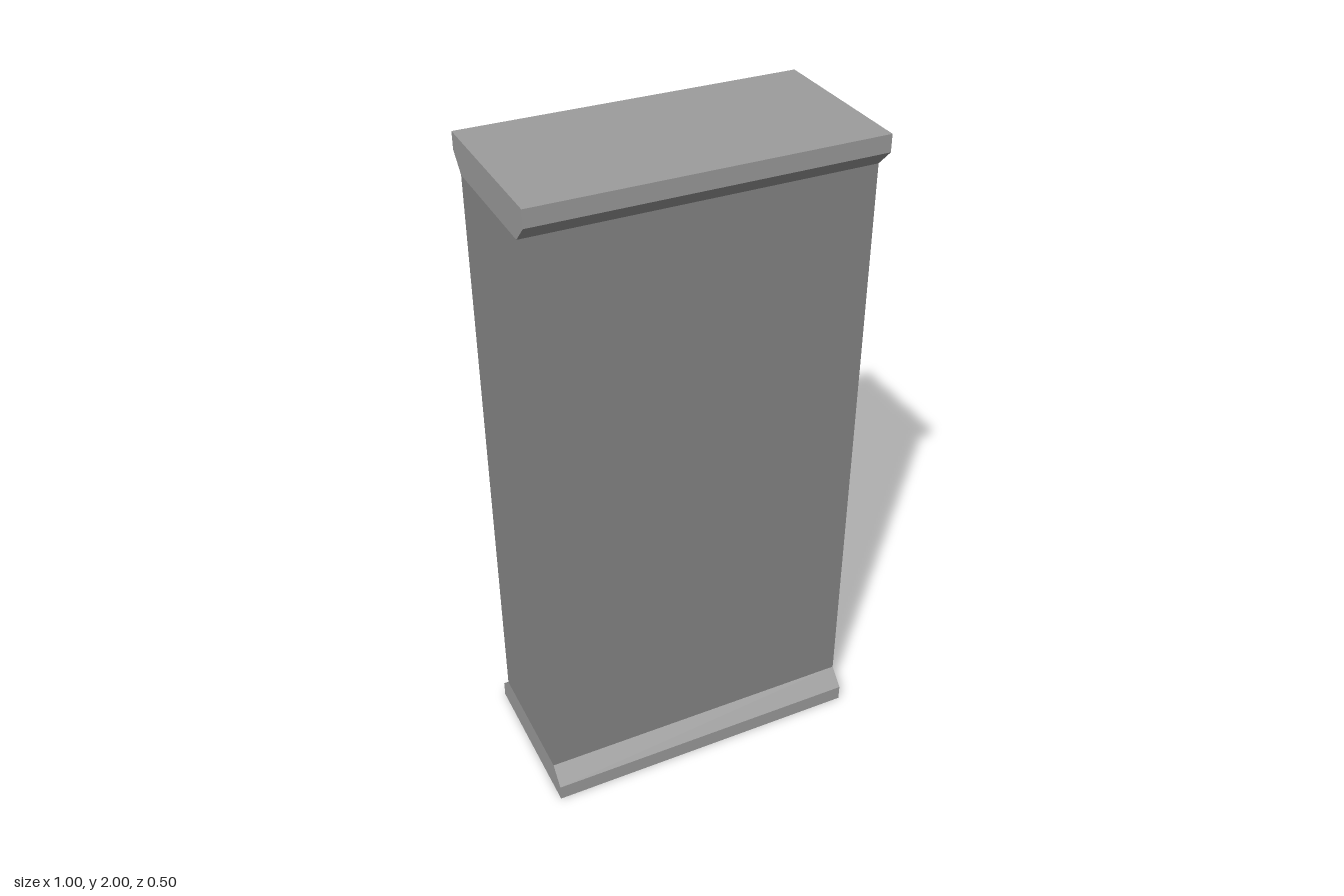
import * as THREE from 'three';

const LENGTH = 1, HEIGHT = 2;
const TRIM_HEIGHT = 0.1, TRIM_LIP = 0.05;
const TRIM_HALF = 0.25, WALL_HALF = 0.2;

// Chamfered moulding running the full length of the wall, widest at y = 0
function trimGeometry() {
  const profile = new THREE.Shape([
    new THREE.Vector2(-TRIM_HALF, 0),
    new THREE.Vector2(TRIM_HALF, 0),
    new THREE.Vector2(TRIM_HALF, TRIM_LIP),
    new THREE.Vector2(WALL_HALF, TRIM_HEIGHT),
    new THREE.Vector2(-WALL_HALF, TRIM_HEIGHT),
    new THREE.Vector2(-TRIM_HALF, TRIM_LIP),
  ]);
  const geometry = new THREE.ExtrudeGeometry(profile, { depth: LENGTH, bevelEnabled: false });
  return geometry.translate(0, 0, -LENGTH / 2).rotateY(Math.PI / 2);
}

export function createModel() {
  const model = new THREE.Group();
  model.name = 'wallSegment';

  const trimMaterial = new THREE.MeshStandardMaterial({ color: 0x9d9d9d, flatShading: true });
  const wallMaterial = new THREE.MeshStandardMaterial({ color: 0x878787, flatShading: true });

  // Plain wall panel between the two trims
  const wall = new THREE.Mesh(
    new THREE.BoxGeometry(LENGTH, HEIGHT - 2 * TRIM_HEIGHT, 2 * WALL_HALF),
    wallMaterial
  );
  wall.name = 'wallPanel';
  wall.position.y = HEIGHT / 2;
  model.add(wall);

  // Skirting at the floor, and the same moulding turned over at the top
  const geometry = trimGeometry();
  const bottomTrim = new THREE.Mesh(geometry, trimMaterial);
  bottomTrim.name = 'bottomTrim';
  const topTrim = new THREE.Mesh(geometry, trimMaterial);
  topTrim.name = 'topTrim';
  topTrim.rotation.x = Math.PI;
  topTrim.position.y = HEIGHT;
  model.add(bottomTrim, topTrim);

  return model;
}
